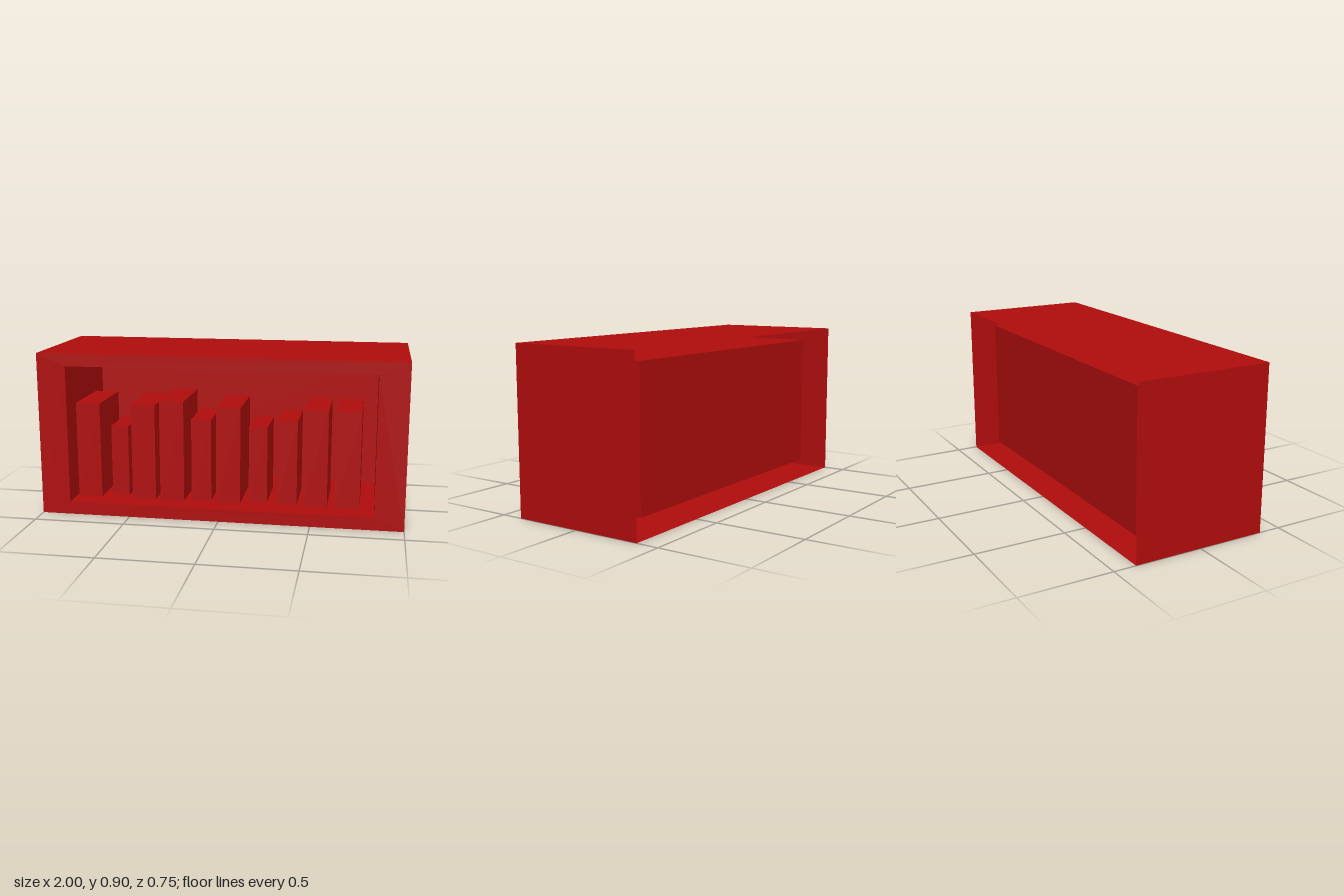
import * as THREE from 'three';

const material = new THREE.MeshStandardMaterial({ color: 0xb00d0d, flatShading: true, side: THREE.DoubleSide });

// Four thin walls around the z axis, between zBack and zFront
function tube(name, w, y0, y1, zBack, zFront) {
  const group = new THREE.Group();
  group.name = name;
  const h = y1 - y0, d = zFront - zBack, yMid = (y0 + y1) / 2, zMid = (zBack + zFront) / 2;
  for (const s of [-1, 1]) {
    const side = new THREE.Mesh(new THREE.PlaneGeometry(d, h), material);
    side.name = name + (s > 0 ? 'LeftWall' : 'RightWall');
    side.rotation.y = s * Math.PI / 2;
    side.position.set(s * w / 2, yMid, zMid);
    const flat = new THREE.Mesh(new THREE.PlaneGeometry(w, d), material);
    flat.name = name + (s > 0 ? 'Top' : 'Bottom');
    flat.rotation.x = -s * Math.PI / 2;
    flat.position.set(0, s > 0 ? y1 : y0, zMid);
    group.add(side, flat);
  }
  return group;
}

function rectangle(target, x, y0, y1) {
  return target.moveTo(-x, y0).lineTo(x, y0).lineTo(x, y1).lineTo(-x, y1).closePath();
}

export function createModel() {
  const model = new THREE.Group();
  model.name = 'bookShelf';
  const H = 0.905, Z = 0.377, X = 0.84, floor = 0.07, ceiling = 0.837, back = -0.28;

  // Outer case, open at the back
  model.add(tube('case', 2, 0, H, -Z, Z));

  // Front frame around the opening
  const outline = rectangle(new THREE.Shape(), 1, 0, H);
  outline.holes.push(rectangle(new THREE.Path(), X, floor, ceiling));
  const frame = new THREE.Mesh(new THREE.ShapeGeometry(outline), material);
  frame.name = 'frontFrame';
  frame.position.z = Z;
  model.add(frame);

  // Recess behind the opening
  model.add(tube('recess', 2 * X, floor, ceiling, back, Z));
  const backPanel = new THREE.Mesh(new THREE.PlaneGeometry(2 * X, ceiling - floor), material);
  backPanel.name = 'recessBack';
  backPanel.position.set(0, (floor + ceiling) / 2, back);
  model.add(backPanel);

  // Row of books: left edge, right edge, top; depth follows height
  const books = [
    [-0.83, -0.693, 0.61], [-0.643, -0.545, 0.475], [-0.513, -0.378, 0.61],
    [-0.35, -0.213, 0.637], [-0.177, -0.065, 0.535], [-0.033, 0.103, 0.61],
    [0.145, 0.248, 0.497], [0.303, 0.415, 0.54], [0.448, 0.583, 0.61], [0.625, 0.76, 0.61],
  ];
  books.forEach(([x0, x1, top], i) => {
    const h = top - floor;
    const book = new THREE.Mesh(new THREE.BoxGeometry(x1 - x0, h, h * 0.685), material);
    book.name = 'book' + (i + 1);
    book.position.set((x0 + x1) / 2, floor + h / 2, 0.065);
    model.add(book);
  });
  return model;
}
